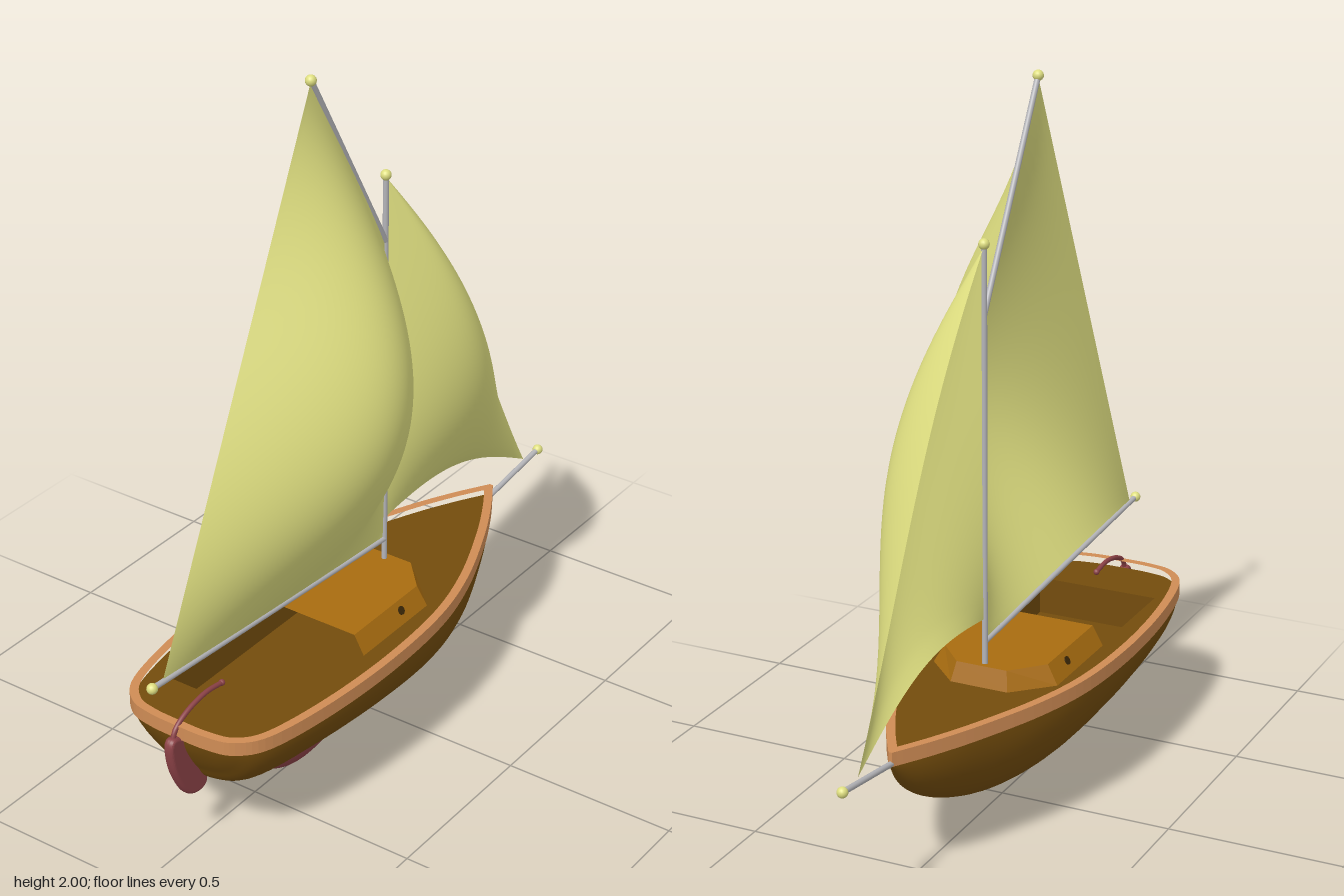
import * as THREE from 'three';

const mat = (name, color, side = THREE.FrontSide) => {
  const m = new THREE.MeshStandardMaterial({ color, side });
  m.name = name;
  return m;
};
const V2 = (p) => new THREE.Vector2(...p);
const V3 = (...p) => new THREE.Vector3(...p);

// Smooth surface patch from fn(u, v) -> [x, y, z]
function patch(fn, nu, nv) {
  const pos = [], idx = [];
  for (let j = 0; j <= nv; j++)
    for (let i = 0; i <= nu; i++) pos.push(...fn(i / nu, j / nv));
  for (let j = 0; j < nv; j++)
    for (let i = 0; i < nu; i++) {
      const a = j * (nu + 1) + i, b = a + nu + 1;
      idx.push(a, a + 1, b, a + 1, b + 1, b);
    }
  const g = new THREE.BufferGeometry();
  g.setAttribute('position', new THREE.Float32BufferAttribute(pos, 3));
  g.setIndex(idx);
  g.computeVertexNormals();
  return g;
}

export function createModel() {
  const D = THREE.DoubleSide;
  const hullBrown = mat('hull brown', 0x734c0c, D);
  const cabinWood = mat('cabin wood', 0xa86c10, D);
  const railWood = mat('rail wood', 0xcf8c55);
  const red = mat('keel red', 0x8c4247, D);
  const cloth = mat('sail cloth', 0xdede80, D);
  const metal = mat('spar grey', 0xb4b4b8);
  const dark = mat('porthole dark', 0x3a2606);

  const model = new THREE.Group();
  const add = (name, geo, m, parent = model) => {
    const mesh = new THREE.Mesh(geo, m);
    mesh.name = name;
    parent.add(mesh);
    return mesh;
  };

  // Hull: elliptical ribs between the deck outline and the keel line
  const SHEER = 0.37, DECK = 0.385, PI = Math.PI;
  const outline = new THREE.SplineCurve([[-0.815, 0], [-0.812, 0.09], [-0.79, 0.165], [-0.71, 0.222],
    [-0.5, 0.26], [-0.25, 0.274], [0, 0.26], [0.2, 0.213], [0.4, 0.134], [0.54, 0.065], [0.65, 0]].map(V2));
  const keelLine = new THREE.SplineCurve([[-0.815, 0.37], [-0.8, 0.32], [-0.76, 0.25], [-0.7, 0.187],
    [-0.5, 0.165], [-0.22, 0.135], [0.05, 0.112], [0.25, 0.125], [0.42, 0.18], [0.56, 0.265], [0.65, 0.37]].map(V2));
  add('hull', patch((u, v) => {
    const a = (u - 0.5) * PI, o = outline.getPoint(v), k = keelLine.getPoint(v);
    const drop = Math.pow(Math.cos(a), 1.08);
    return [o.x + (k.x - o.x) * drop, SHEER + (k.y - SHEER) * drop, o.y * Math.sin(a)];
  }, 32, 60), hullBrown);

  // Full deck outline, moved inward by d
  const deckPoints = (d) => {
    const half = [];
    for (let i = 0; i <= 60; i++) {
      const p = outline.getPoint(i / 60), t = outline.getTangent(i / 60);
      const q = new THREE.Vector2(p.x + t.y * d, p.y - t.x * d);
      if (q.y > 0.001) half.push(q);
    }
    return [...half, ...half.map((p) => new THREE.Vector2(p.x, -p.y)).reverse()];
  };

  // Rail around the deck edge
  const railShape = new THREE.Shape(deckPoints(-0.006));
  railShape.holes.push(new THREE.Path(deckPoints(0.018)));
  const railGeo = new THREE.ExtrudeGeometry(railShape, { depth: 0.04, bevelEnabled: false });
  railGeo.rotateX(-PI / 2).translate(0, SHEER, 0);
  add('rail', railGeo, railWood);

  // Deck with cockpit opening
  const c0 = -0.635, c1 = 0.04, cz = 0.183, floorY = 0.27;
  const deckShape = new THREE.Shape(deckPoints(0.005));
  deckShape.holes.push(new THREE.Path([[c0, -cz], [c1, -cz], [c1, cz], [c0, cz]].map(V2)));
  add('deck', new THREE.ShapeGeometry(deckShape).rotateX(-PI / 2).translate(0, DECK, 0), hullBrown);

  // Cockpit well
  const well = new THREE.Group();
  well.name = 'cockpit';
  model.add(well);
  const box = (name, w, h, d, x, y, z) =>
    add(name, new THREE.BoxGeometry(w, h, d).translate(x, y, z), hullBrown, well);
  const cx = (c0 + c1) / 2, wallH = DECK - floorY - 0.001, wallY = floorY + wallH / 2;
  box('cockpitFloor', c1 - c0, 0.008, 2 * cz, cx, floorY, 0);
  for (const s of [-1, 1]) {
    box('cockpitSide', c1 - c0, wallH, 0.006, cx, wallY, s * (cz + 0.003));
    box('cockpitEnd', 0.006, wallH, 2 * cz, cx + s * ((c1 - c0) / 2 + 0.003), wallY, 0);
  }

  // Cabin: sloping walls, chamfered front, open towards the cockpit
  const base = [[-0.255, 0.187], [0.045, 0.187], [0.145, 0.085], [0.145, -0.085], [0.045, -0.187], [-0.255, -0.187]];
  const roof = [[-0.255, 0.156], [0.04, 0.156], [0.128, 0.075], [0.128, -0.075], [0.04, -0.156], [-0.255, -0.156]];
  const cabinTop = 0.44;
  const walls = patch((u, v) => {
    const i = Math.round(u * 5), [x, z] = (v ? roof : base)[i];
    return [x, v ? cabinTop : DECK, z];
  }, 5, 1).toNonIndexed();
  walls.computeVertexNormals();
  add('cabinWalls', walls, cabinWood);
  add('cabinRoof', new THREE.ShapeGeometry(new THREE.Shape(roof.map(V2))).rotateX(-PI / 2)
    .translate(0, cabinTop, 0), cabinWood);
  for (const s of [-1, 1]) {
    const port = add('porthole', new THREE.CylinderGeometry(0.012, 0.012, 0.004, 20), dark);
    port.position.set(-0.055, 0.416, s * 0.17);
    port.quaternion.setFromUnitVectors(V3(0, 1, 0), V3(0, 0.031, s * 0.055).normalize());
  }

  // Keel fin: ellipses between the hull and the lower profile
  const fin = new THREE.SplineCurve([[-0.535, 0.145], [-0.515, 0.1], [-0.46, 0.058], [-0.38, 0.018], [-0.29, 0.004],
    [-0.2, 0.018], [-0.1, 0.047], [0, 0.07], [0.04, 0.09], [0.05, 0.125]].map(V2));
  add('keelFin', patch((u, v) => {
    const p = fin.getPoint(v), a = u * 2 * PI, top = 0.16 - 0.04 * v;
    const w = 0.042 * Math.pow(Math.sin(PI * Math.min(1, 0.02 + v * 0.98)), 0.6);
    return [p.x, (top + p.y) / 2 + (top - p.y) / 2 * Math.cos(a), w * Math.sin(a)];
  }, 24, 40), red);

  // Rudder blade and curved tiller
  const blade = new THREE.Shape();
  blade.moveTo(-0.815, 0.365);
  blade.splineThru([[-0.845, 0.372], [-0.851, 0.34], [-0.835, 0.27], [-0.795, 0.195], [-0.755, 0.174],
    [-0.727, 0.182], [-0.73, 0.21], [-0.775, 0.28], [-0.815, 0.365]].map(V2));
  add('rudder', new THREE.ExtrudeGeometry(blade, {
    depth: 0.008, bevelThickness: 0.011, bevelSize: 0.009, bevelSegments: 4, curveSegments: 24,
  }).translate(0, 0, -0.004), red);
  const tillerPath = new THREE.CatmullRomCurve3([V3(-0.84, 0.365, 0), V3(-0.825, 0.4, 0),
    V3(-0.78, 0.427, 0), V3(-0.7, 0.443, 0), V3(-0.63, 0.436, 0)]);
  add('tiller', new THREE.TubeGeometry(tillerPath, 30, 0.007, 10), red);
  add('tillerKnob', new THREE.SphereGeometry(0.009, 14, 10).translate(-0.63, 0.436, 0), red);

  // Spars, each with a ball at the far end
  const MX = 0.107;
  const spars = {
    mast: [[MX, 0.38], [MX, 1.61], 0.008],
    gaff: [[MX, 1.42], [-0.216, 1.985], 0.008],
    boom: [[MX, 0.503], [-0.91, 0.575], 0.008],
    bowsprit: [[0.62, 0.372], [0.905, 0.41], 0.008],
  };
  for (const [name, [a, b, r]] of Object.entries(spars)) {
    const from = V3(...a, 0), to = V3(...b, 0), dir = to.clone().sub(from);
    const spar = add(name, new THREE.CylinderGeometry(r, r, dir.length(), 14), metal);
    spar.position.copy(from).add(to).multiplyScalar(0.5);
    spar.quaternion.setFromUnitVectors(V3(0, 1, 0), dir.normalize());
    add(name + 'Ball', new THREE.SphereGeometry(0.015, 16, 12), cloth).position.copy(to);
  }

  // Sails billow towards +z; edges stay on the centre plane
  const mix = (a, b, t) => a + (b - a) * t;
  add('mainSail', patch((u, v) => [
    mix(mix(MX, -0.868, u), mix(MX, -0.216, u), v),
    mix(mix(0.507, 0.574, u), mix(1.42, 1.982, u), v),
    0.272 * Math.sin(PI * u) * Math.sin(PI * v),
  ], 40, 40), cloth);
  add('foreSail', patch((u, v) => {
    const bulge = 0.05 * Math.sin(PI * Math.pow(v, 1.5));
    const ex = mix(0.825, MX + 0.004, v) + 0.85 * bulge, ey = mix(0.415, 1.6, v) + 0.52 * bulge;
    return [
      mix(MX + 0.004, ex, u),
      mix(mix(0.57, 1.6, v), ey, u) + 0.075 * (1 - v) * Math.sin(PI * u),
      0.16 * Math.sin(PI * u) * Math.sin(PI * Math.pow(v, 0.85)),
    ];
  }, 32, 40), cloth);

  return model;
}
